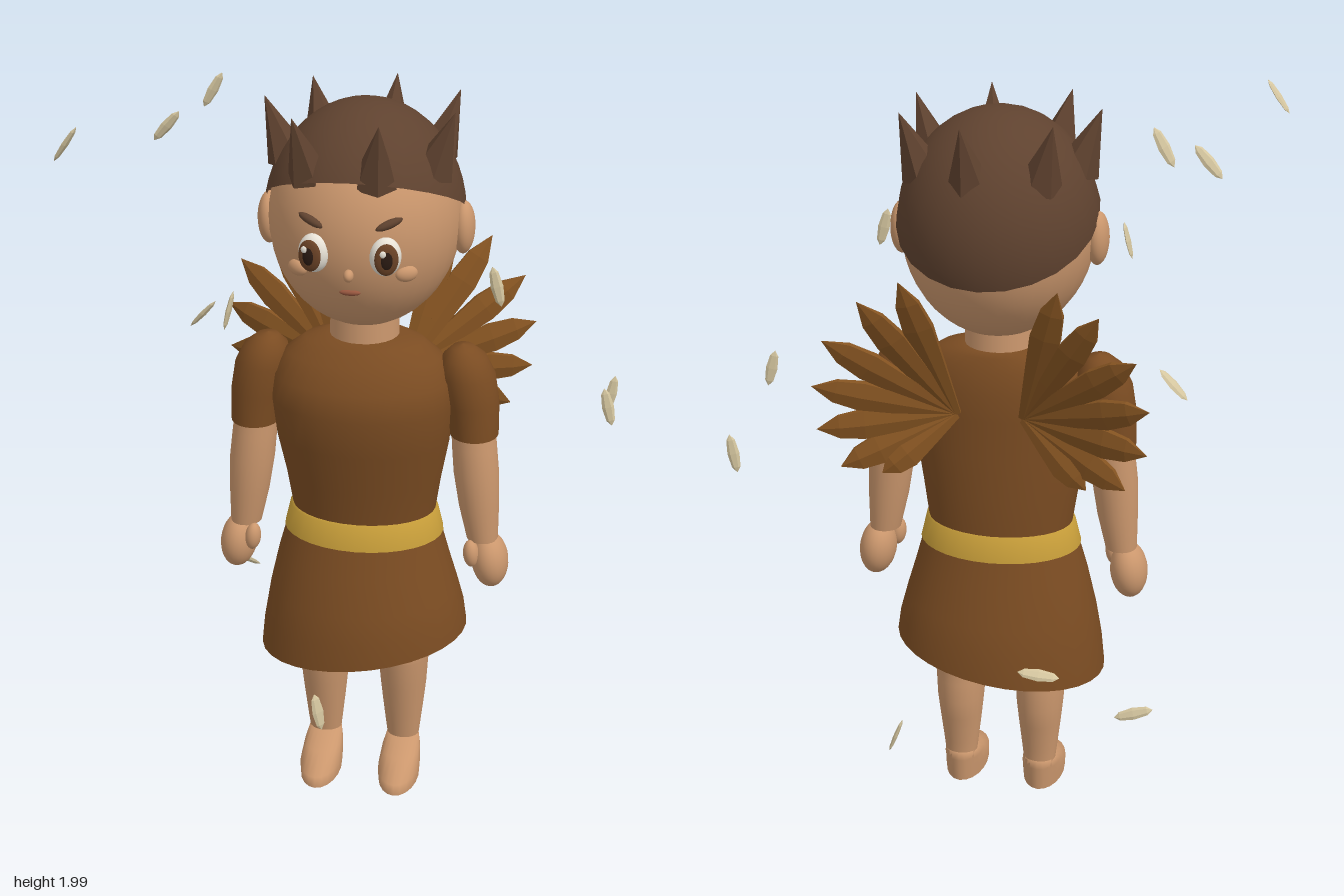
import * as THREE from 'three';

const mat = (name, color, side = THREE.FrontSide) =>
  Object.assign(new THREE.MeshStandardMaterial({ color, side }), { name });

const skin = mat('skin', 0xcb976d);
const cloth = mat('brown cloth', 0x7b4c22, THREE.DoubleSide);
const feather = mat('wing feather', 0x845321);
const gold = mat('gold belt', 0xc99f3a);
const bark = mat('dark cap', 0x5f422f, THREE.DoubleSide);
const white = mat('eye white', 0xeee8dc);
const iris = mat('iris', 0x6a4226);
const dark = mat('pupil', 0x2a1a12);
const lip = mat('lip', 0x98573f);
const cream = mat('pale leaf', 0xd6c7a0);

function add(parent, name, geometry, material, pos = [0, 0, 0], rot = [0, 0, 0]) {
  const m = new THREE.Mesh(geometry, material);
  m.name = name;
  m.position.set(...pos);
  m.rotation.set(...rot);
  parent.add(m);
  return m;
}

const ball = (rx, ry, rz, w = 24, h = 16) => new THREE.SphereGeometry(1, w, h).scale(rx, ry, rz);

// Skin over elliptical rings, bottom to top: [y, cx, cz, rx, rz, slope along x]
function loft(rings, seg = 28) {
  const pos = [], idx = [];
  rings.forEach(([y, cx, cz, rx, rz, slope = 0], r) => {
    for (let i = 0; i < seg; i++) {
      const t = (i / seg) * Math.PI * 2;
      const x = Math.sin(t) * rx;
      pos.push(cx + x, y + slope * x, cz + Math.cos(t) * rz);
      if (r === rings.length - 1) continue;
      const a = r * seg + i, b = r * seg + ((i + 1) % seg);
      idx.push(a, b, b + seg, a, b + seg, a + seg);
    }
  });
  const g = new THREE.BufferGeometry();
  g.setAttribute('position', new THREE.Float32BufferAttribute(pos, 3));
  g.setIndex(idx);
  g.computeVertexNormals();
  return g;
}

function flat(g) {
  const f = g.index ? g.toNonIndexed() : g;
  f.computeVertexNormals();
  return f;
}

// Turn +y along dir while keeping the flat side near "face"
function aim(mesh, dir, face) {
  const y = dir.clone().normalize();
  const x = y.clone().cross(face).normalize();
  const z = x.clone().cross(y);
  mesh.quaternion.setFromRotationMatrix(new THREE.Matrix4().makeBasis(x, y, z));
}

const HEAD = { y: 1.68, z: -0.05, rx: 0.25, ry: 0.288, rz: 0.268 };
const faceZ = (x, y) =>
  HEAD.z + HEAD.rz * Math.sqrt(1 - (x / HEAD.rx) ** 2 - ((y - HEAD.y) / HEAD.ry) ** 2);

function buildHead(body) {
  const head = new THREE.Group();
  head.name = 'head';
  body.add(head);
  add(head, 'skull', ball(HEAD.rx, HEAD.ry, HEAD.rz, 32, 24), skin, [0, HEAD.y, HEAD.z]);
  add(head, 'neck', new THREE.CylinderGeometry(0.09, 0.095, 0.16, 24), skin, [0, 1.38, -0.04]);

  // Tilted cap, low at the back
  const cap = new THREE.SphereGeometry(1, 24, 12, 0, Math.PI * 2, 0, 1.45);
  cap.rotateX(-0.43).scale(0.262, 0.305, 0.283);
  add(head, 'cap', cap, bark, [0, HEAD.y, HEAD.z]);

  // Ring of seven spikes leaning outward
  for (let i = 0; i < 7; i++) {
    const a = ((16 + (i * 360) / 7) * Math.PI) / 180;
    const out = new THREE.Vector3(Math.sin(a), 0, Math.cos(a));
    const spike = add(head, 'capSpike', flat(new THREE.ConeGeometry(0.058, 0.17, 6)), bark,
      [out.x * 0.228, 1.908, HEAD.z + out.z * 0.228]);
    aim(spike, new THREE.Vector3(out.x * 0.38, 1, out.z * 0.38), out);
  }

  // Face
  for (const s of [-1, 1]) {
    add(head, 'ear', ball(0.03, 0.07, 0.047), skin, [s * 0.255, 1.66, -0.053]);
    const eye = new THREE.Group();
    eye.name = 'eye';
    eye.position.set(s * 0.09, 1.66, faceZ(0.09, 1.66));
    eye.rotation.y = s * 0.25;
    head.add(eye);
    add(eye, 'eyeWhite', ball(0.04, 0.05, 0.03), white);
    add(eye, 'iris', ball(0.03, 0.041, 0.012), iris, [0, 0, 0.024]);
    add(eye, 'pupil', ball(0.016, 0.024, 0.006), dark, [0, 0, 0.032]);
    add(eye, 'eyeGlint', ball(0.008, 0.009, 0.004), white, [-0.01, 0.018, 0.036]);
    add(head, 'eyebrow', ball(0.037, 0.011, 0.012, 12, 8), bark,
      [s * 0.098, 1.742, faceZ(0.098, 1.742) + 0.004], [0, s * 0.38, s * 0.36]);
    add(head, 'cheek', ball(0.03, 0.021, 0.016), skin,
      [s * 0.138, 1.605, faceZ(0.138, 1.605)], [0, s * 0.55, 0]);
  }
  add(head, 'nose', ball(0.013, 0.016, 0.018), skin, [0, 1.61, faceZ(0, 1.61) + 0.006]);
  add(head, 'mouth', ball(0.027, 0.008, 0.008), lip, [0, 1.557, faceZ(0, 1.557)]);
}

function buildDress(body) {
  add(body, 'bodice', loft([
    [0.84, 0, -0.037, 0.197, 0.14], [0.95, 0, -0.03, 0.213, 0.152],
    [1.07, 0, -0.015, 0.235, 0.162], [1.18, 0, -0.005, 0.245, 0.17],
    [1.25, 0, -0.012, 0.24, 0.16], [1.31, 0, -0.025, 0.21, 0.133],
    [1.345, 0, -0.036, 0.16, 0.105], [1.36, 0, -0.04, 0.1, 0.093], [1.36, 0, -0.04, 0, 0],
  ], 32), cloth);
  // Flared skirt with a slanted hem
  add(body, 'skirt', loft([
    [0.445, 0, -0.032, 0.293, 0.237, 0.15], [0.52, 0, -0.032, 0.284, 0.231, 0.11],
    [0.6, 0, -0.032, 0.267, 0.214, 0.05], [0.7, 0, -0.033, 0.241, 0.186],
    [0.785, 0, -0.034, 0.217, 0.162], [0.85, 0, -0.035, 0.2, 0.145],
  ], 32), cloth);
  add(body, 'belt', loft([
    [0.782, 0, -0.034, 0.217, 0.162], [0.783, 0, -0.034, 0.222, 0.167],
    [0.85, 0, -0.035, 0.206, 0.151], [0.852, 0, -0.035, 0.19, 0.13],
  ], 32), gold);
}

function buildLimbs(body, s) {
  // Sleeve, arm and hand
  add(body, 'sleeve', loft([
    [1.09, s * 0.3, -0.03, 0.066, 0.073], [1.18, s * 0.292, -0.033, 0.073, 0.08],
    [1.26, s * 0.277, -0.036, 0.075, 0.085], [1.31, s * 0.268, -0.037, 0.058, 0.066],
    [1.335, s * 0.264, -0.037, 0.03, 0.036], [1.343, s * 0.262, -0.037, 0, 0],
  ], 24), cloth);
  add(body, 'arm', loft([
    [0.78, s * 0.332, -0.02, 0.043, 0.046], [0.88, s * 0.32, -0.02, 0.055, 0.06],
    [0.98, s * 0.31, -0.02, 0.062, 0.064], [1.06, s * 0.302, -0.025, 0.061, 0.065],
    [1.15, s * 0.294, -0.03, 0.058, 0.064],
  ], 24), skin);
  add(body, 'hand', ball(0.051, 0.08, 0.066), skin, [s * 0.355, 0.712, -0.02], [0, 0, s * 0.12]);
  add(body, 'thumb', ball(0.022, 0.04, 0.026), skin, [s * 0.306, 0.745, 0.018], [0, 0, s * 0.1]);

  // Leg and foot
  const x = s * 0.115;
  add(body, 'thigh', loft([
    [0.38, x, -0.036, 0.073, 0.082], [0.5, x, -0.036, 0.08, 0.094],
    [0.68, x * 0.9, -0.036, 0.085, 0.1],
  ], 24), skin);
  add(body, 'calf', loft([
    [0.07, x, -0.048, 0.043, 0.036], [0.13, x, -0.045, 0.05, 0.044],
    [0.22, x, -0.045, 0.06, 0.062], [0.28, x, -0.045, 0.066, 0.074],
    [0.34, x, -0.038, 0.07, 0.079], [0.385, x, -0.036, 0.073, 0.082],
  ], 24), skin);
  add(body, 'foot', loft([
    [0, x, 0.033, 0, 0], [0, x, 0.033, 0.058, 0.113], [0, x, 0.033, 0.058, 0.113],
    [0.035, x, 0.03, 0.06, 0.115], [0.07, x, -0.01, 0.055, 0.076],
    [0.098, x, -0.045, 0.046, 0.044], [0.108, x, -0.047, 0, 0],
  ], 20), skin);
}

// Fan of pointed feathers behind one shoulder
function buildWing(body, s) {
  const wing = new THREE.Group();
  wing.name = s > 0 ? 'leftWing' : 'rightWing';
  body.add(wing);
  const root = new THREE.Vector3(s * 0.09, 1.2, -0.175);
  const tips = [[0.2, 1.6, -0.32], [0.305, 1.545, -0.33], [0.4, 1.435, -0.33],
    [0.435, 1.305, -0.32], [0.43, 1.18, -0.305], [0.375, 1.07, -0.285], [0.27, 1.05, -0.26]];
  for (const [x, y, z] of tips) {
    const dir = new THREE.Vector3(s * x, y, z).sub(root);
    const L = dir.length();
    const g = loft([[0, 0], [0, 0.016], [0.35, 0.032], [0.66, 0.045], [0.84, 0.035], [1, 0]]
      .map(([t, w]) => [t * L, 0, 0, w, w * 0.4]), 6);
    aim(add(wing, 'wingFeather', flat(g), feather, root.toArray()), dir, new THREE.Vector3(0, 0, 1));
  }
}

// Loose leaves drifting around: position, direction (x, y), turn about own axis
const LEAVES = [
  [-0.655, 1.95, 0.34, 0.6, 0.85, 1.3], [-0.52, 1.88, -0.085, 0.75, 0.85, 0.5],
  [-0.425, 1.945, -0.215, 0.5, 0.9, 0.6], [0.375, 1.585, 0.165, -0.25, 1, 0.1],
  [-0.272, 1.54, 0.318, 0.25, 1, 1.4], [-0.465, 1.325, -0.175, 0.75, 0.8, 1.1],
  [0.663, 1.21, 0.012, -0.25, 1, 0.2], [0.663, 1.1, -0.325, 0.15, 1, 0.2],
  [-0.412, 0.46, -0.355, 1, -0.36, 0.5], [-0.013, 0.545, 0.558, -0.18, 1, 0.7],
  [0.22, 0.35, -0.415, -0.38, 1, 1.5], [-0.195, 0.67, -0.56, 1, 0.06, 0.8],
];

export function createModel() {
  const model = new THREE.Group();
  model.name = 'wingedFigure';
  const body = new THREE.Group();
  body.name = 'body';
  body.position.x = 0.01;
  model.add(body);
  buildHead(body);
  buildDress(body);
  for (const s of [-1, 1]) {
    buildLimbs(body, s);
    buildWing(body, s);
  }
  for (const [x, y, z, dx, dy, turn] of LEAVES) {
    const leaf = add(model, 'driftingLeaf', flat(ball(0.016, 0.054, 0.006, 6, 4)), cream, [x, y, z]);
    aim(leaf, new THREE.Vector3(dx, dy, 0), new THREE.Vector3(0, 0, 1));
    leaf.rotateY(turn);
  }
  return model;
}
